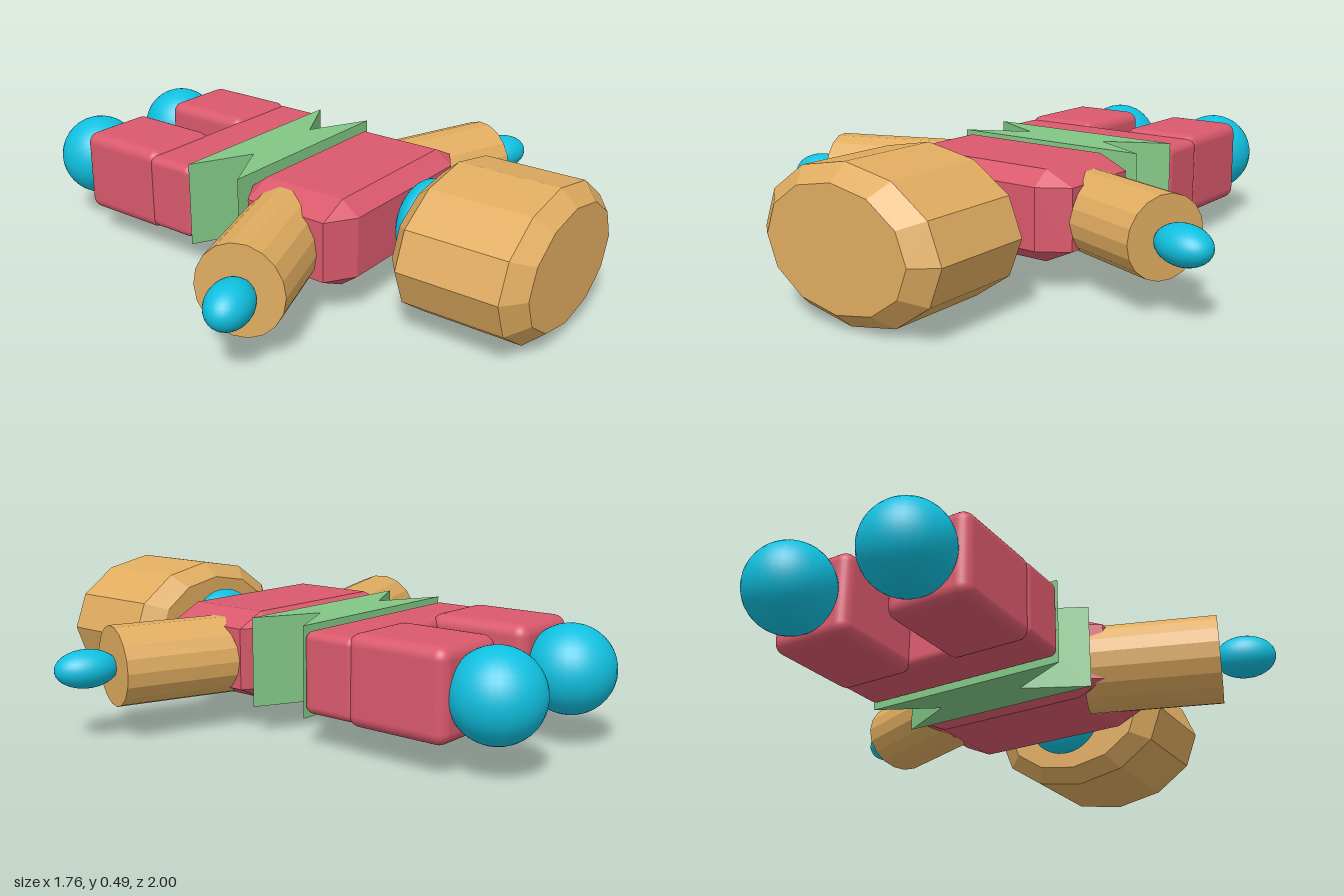
import * as THREE from 'three';
import { RoundedBoxGeometry } from 'three/addons/geometries/RoundedBoxGeometry.js';
import { ConvexGeometry } from 'three/addons/geometries/ConvexGeometry.js';

const paint = (color, flatShading = false) => {
  const m = new THREE.MeshStandardMaterial({ color });
  m.flatShading = flatShading;
  return m;
};
const TAN = paint(0xe0ac60, true);
const RED = paint(0xd9596c);
const RED_FLAT = paint(0xd9596c, true);
const GREEN = paint(0x82c785, true);
const BLUE = paint(0x10c0e0);

const CX = 0.018; // body midline
const CY = 0.25;  // body mid height

export function createModel() {
  const model = new THREE.Group();
  model.name = 'lyingFigure';

  const add = (name, geometry, material, x, y, z) => {
    const mesh = new THREE.Mesh(geometry, material);
    mesh.name = name;
    mesh.position.set(x, y, z);
    model.add(mesh);
    return mesh;
  };
  const ellipsoid = (name, x, y, z, rx, ry, rz) => {
    const mesh = add(name, new THREE.SphereGeometry(1, 32, 20), BLUE, x, y, z);
    mesh.scale.set(rx, ry, rz);
    return mesh;
  };

  // Head: twelve-sided oval drum with chamfered ends, axis along z
  const rings = [[0, 0.535], [0.79, 0.535], [1, 0.593], [1, 0.942], [0.79, 1], [0, 1]];
  const head = new THREE.LatheGeometry(rings.map(([r, z]) => new THREE.Vector2(r, z)), 12);
  head.rotateX(Math.PI / 2);
  head.scale(0.358, 0.246, 1);
  add('head', head, TAN, CX, CY - 0.002, 0);

  // Neck: flattened ball
  ellipsoid('neck', CX + 0.008, CY, 0.485, 0.148, 0.15, 0.086);

  // Torso: box with every edge chamfered
  const h = [0.38, 0.15, 0.216], cut = [0.1, 0.047, 0.063];
  const corners = [];
  for (const sx of [-1, 1]) for (const sy of [-1, 1]) for (const sz of [-1, 1])
    for (let outer = 0; outer < 3; outer++) {
      const p = h.map((v, i) => (i === outer ? v : v - cut[i]));
      corners.push(new THREE.Vector3(sx * p[0], sy * p[1], sz * p[2]));
    }
  add('torso', new ConvexGeometry(corners), RED_FLAT, CX - 0.013, CY, 0.197);

  // Waist: prism pinched at the sides
  const outline = [[-0.372, -0.11], [0.372, -0.11], [0.16, 0], [0.372, 0.11], [-0.372, 0.11], [-0.16, 0]];
  const waist = new THREE.ExtrudeGeometry(
    new THREE.Shape(outline.map(([x, y]) => new THREE.Vector2(x, y))),
    { depth: 0.3, bevelEnabled: false });
  waist.translate(0, 0, -0.15);
  waist.rotateX(-Math.PI / 2);
  add('waist', waist, GREEN, CX, CY, -0.128);

  // Hips, legs and feet
  add('hips', new RoundedBoxGeometry(0.745, 0.268, 0.2, 4, 0.028), RED, CX, CY, -0.336);
  for (const [side, s] of [['left', 1], ['right', -1]]) {
    const x = CX + s * 0.222;
    add(side + 'Leg', new RoundedBoxGeometry(0.295, 0.295, 0.365, 4, 0.04), RED, x, CY, -0.583);
    ellipsoid(side + 'Foot', x, CY, -0.852, 0.148, 0.148, 0.148);
  }

  // Arms: oval cylinders swung forward, each ending in an egg-shaped hand
  const arms = [
    { side: 'left', s: 1, end: [0.698, 0.243, 0.317], length: 0.42, rv: 0.134, hand: [0.777, 0.243, 0.353], hv: 0.063 },
    { side: 'right', s: -1, end: [-0.7, 0.236, 0.288], length: 0.46, rv: 0.156, hand: [-0.778, 0.238, 0.32], hv: 0.073 },
  ];
  for (const a of arms) {
    const swing = -a.s * THREE.MathUtils.degToRad(20);
    const arm = new THREE.CylinderGeometry(1, 1, a.length, 18);
    arm.rotateZ(-a.s * Math.PI / 2);
    arm.translate(-a.s * a.length / 2, 0, 0);
    arm.scale(1, a.rv, 0.146);
    add(a.side + 'Arm', arm, TAN, ...a.end).rotation.y = swing;
    ellipsoid(a.side + 'Hand', ...a.hand, 0.104, a.hv, 0.074).rotation.y = swing;
  }

  return model;
}
